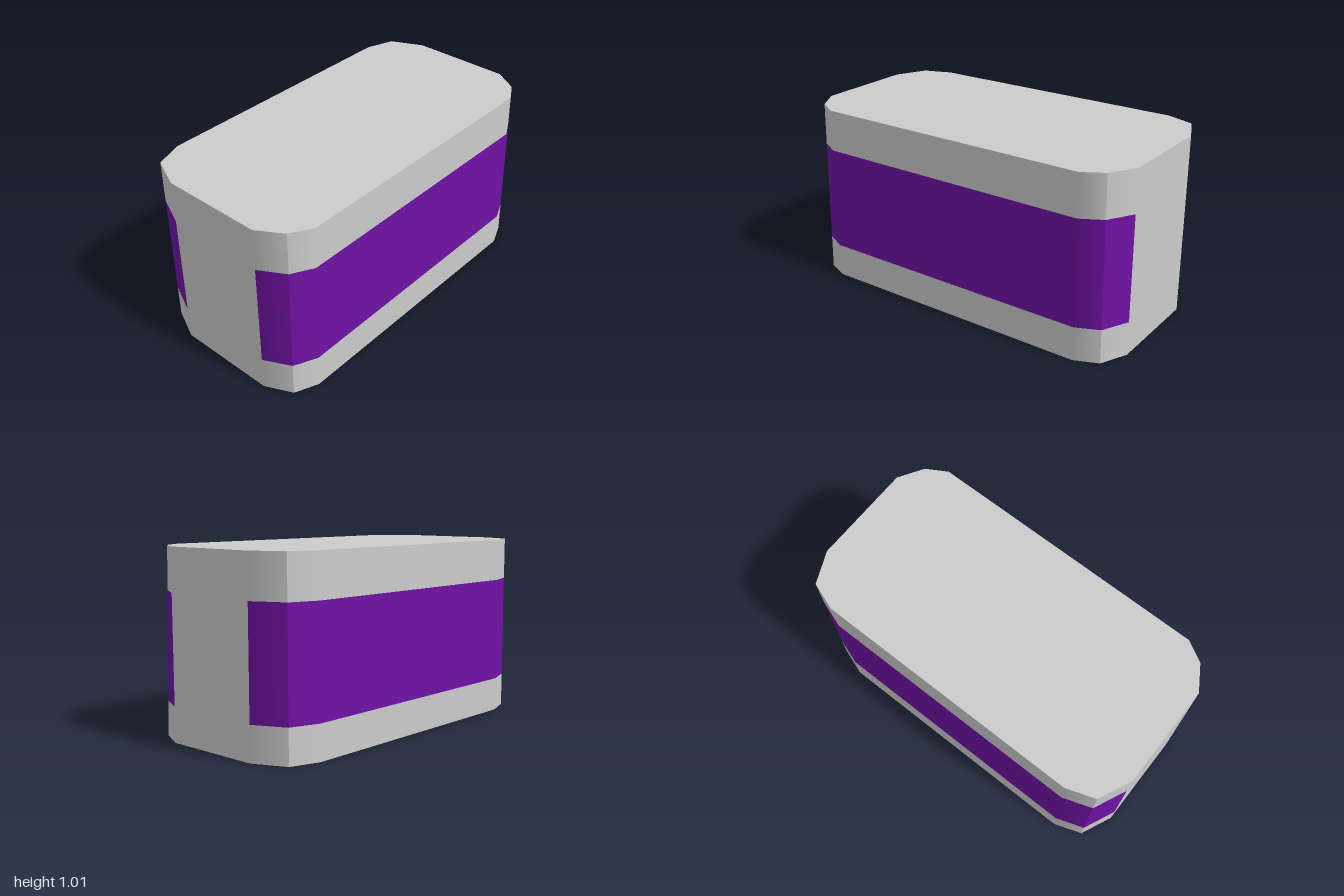
import * as THREE from 'three';

const HEIGHT = 1.015, BAND_LOW = 0.19, BAND_HIGH = 0.78;

// Outline corner at height y; the two front corners lean back towards the top
function frontCorner(y) {
  const t = y / HEIGHT;
  return [0.93 - 0.015 * t, 0.45 - 0.012 * t];
}

// Four wall sections of four points each, split at the sharp corner edges
function sections(y) {
  const [cx, cz] = frontCorner(y);
  const bx = 0.918, bz = -0.45;
  return [
    [[-cx, cz], [-0.8, 0.505], [0.8, 0.505], [cx, cz]],
    [[cx, cz], [1, 0.3], [1, -0.27], [bx, bz]],
    [[bx, bz], [0.76, -0.505], [-0.76, -0.505], [-bx, bz]],
    [[-bx, bz], [-1, -0.27], [-1, 0.3], [-cx, cz]],
  ];
}

// Length-weighted smooth normal of point i within its section
function normalAt(points, i) {
  const n = new THREE.Vector3();
  for (const k of [i - 1, i]) {
    if (k < 0 || k > points.length - 2) continue;
    const [a, b] = [points[k], points[k + 1]];
    n.add(new THREE.Vector3(a[1] - b[1], 0, b[0] - a[0]));
  }
  return n.normalize();
}

function makeMesh(name, position, normal, color) {
  const geometry = new THREE.BufferGeometry();
  geometry.setAttribute('position', new THREE.Float32BufferAttribute(position, 3));
  geometry.setAttribute('normal', new THREE.Float32BufferAttribute(normal, 3));
  const mesh = new THREE.Mesh(geometry, new THREE.MeshStandardMaterial({ color }));
  mesh.name = name;
  return mesh;
}

// Strip of wall between two heights, limited to the facets that pass the test
function wall(name, y0, y1, color, keep) {
  const position = [], normal = [];
  const low = sections(y0), high = sections(y1);
  low.forEach((lower, s) => {
    const upper = high[s];
    for (let i = 0; i < 3; i++) {
      if (!keep(s, i)) continue;
      const corners = [[lower, i, y0], [lower, i + 1, y0], [upper, i + 1, y1], [upper, i, y1]];
      for (const c of [0, 1, 2, 0, 2, 3]) {
        const [points, k, y] = corners[c];
        position.push(points[k][0], y, points[k][1]);
        normal.push(...normalAt(points, k).toArray());
      }
    }
  });
  return makeMesh(name, position, normal, color);
}

// Flat lid closing the outline at height y
function cap(name, y, up) {
  const position = [], normal = [];
  const ring = sections(y).flatMap((points) => points.slice(0, 3));
  ring.forEach((a, i) => {
    const b = ring[(i + 1) % ring.length];
    const [p, q] = up ? [a, b] : [b, a];
    position.push(0, y, 0, p[0], y, p[1], q[0], y, q[1]);
    for (let k = 0; k < 3; k++) normal.push(0, up ? 1 : -1, 0);
  });
  return makeMesh(name, position, normal, 0xcccccc);
}

export function createModel() {
  const model = new THREE.Group();
  model.name = 'bandedBlock';
  const grey = 0xcccccc, purple = 0x6f12a3;
  // The middle facet of each end stays free of the coloured band
  const isEndPanel = (s, i) => s % 2 === 1 && i === 1;

  model.add(
    wall('lowerWall', 0, BAND_LOW, grey, () => true),
    wall('colouredBand', BAND_LOW, BAND_HIGH, purple, (s, i) => !isEndPanel(s, i)),
    wall('endPanels', BAND_LOW, BAND_HIGH, grey, isEndPanel),
    wall('upperWall', BAND_HIGH, HEIGHT, grey, () => true),
    cap('topFace', HEIGHT, true),
    cap('bottomFace', 0, false),
  );
  return model;
}
